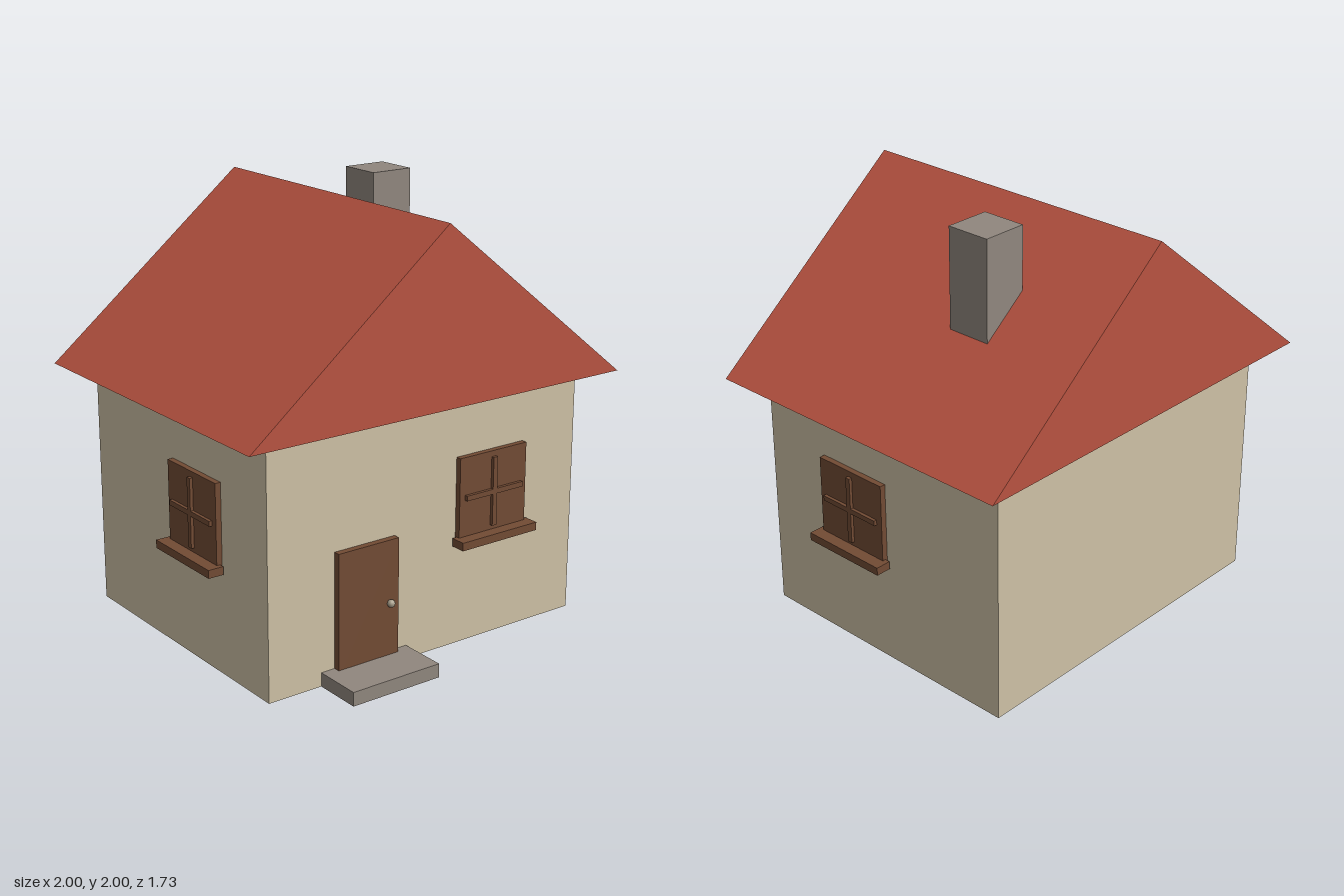
import * as THREE from 'three';

const mat = (name, color) => {
  const m = new THREE.MeshStandardMaterial({ color });
  m.name = name;
  return m;
};

export function createModel() {
  const house = new THREE.Group();
  house.name = 'house';
  const plaster = mat('plaster', 0xcec1a5);
  const tile = mat('roofRed', 0xb85341);
  const wood = mat('brownWood', 0x724b34);
  const stone = mat('greyStone', 0x90877e);
  const metal = mat('knobMetal', 0xa39a86);

  // Box given by its minimum and maximum corners
  const box = (name, material, [x0, y0, z0], [x1, y1, z1], parent = house) => {
    const mesh = new THREE.Mesh(new THREE.BoxGeometry(x1 - x0, y1 - y0, z1 - z0), material);
    mesh.position.set((x0 + x1) / 2, (y0 + y1) / 2, (z0 + z1) / 2);
    mesh.name = name;
    parent.add(mesh);
    return mesh;
  };

  box('walls', plaster, [-0.846, 0, -0.75], [0.846, 1.16, 0.635]);

  // Solid gabled roof, extruded from back to front
  const gable = new THREE.Shape([
    new THREE.Vector2(-1, 1.16), new THREE.Vector2(1, 1.16), new THREE.Vector2(0, 1.963),
  ]);
  const roof = new THREE.Mesh(
    new THREE.ExtrudeGeometry(gable, { depth: 1.613, bevelEnabled: false }), tile);
  roof.position.z = -0.865;
  roof.name = 'roof';
  house.add(roof);

  box('chimney', stone, [0.316, 1.4, -0.396], [0.53, 2, -0.184]);

  // Front door with knob and doorstep
  box('door', wood, [-0.506, 0.03, 0.62], [-0.185, 0.602, 0.666]);
  box('doorstep', stone, [-0.576, 0, 0.63], [-0.116, 0.065, 0.865]);
  const knob = new THREE.Mesh(new THREE.SphereGeometry(0.018, 12, 8), metal);
  knob.position.set(-0.235, 0.312, 0.679);
  knob.name = 'doorKnob';
  house.add(knob);

  // Window facing +z, with the wall surface at its local z = 0
  const addWindow = (name, x, z, angle) => {
    const win = new THREE.Group();
    win.name = name;
    box('windowPanel', wood, [-0.191, -0.2, -0.01], [0.191, 0.187, 0.027], win);
    box('verticalBar', wood, [-0.012, -0.162, 0.02], [0.012, 0.16, 0.042], win);
    box('horizontalBar', wood, [-0.161, -0.013, 0.02], [0.161, 0.011, 0.042], win);
    box('windowSill', wood, [-0.215, -0.222, 0.01], [0.215, -0.184, 0.084], win);
    win.position.set(x, 0.7, z);
    win.rotation.y = angle;
    house.add(win);
  };
  addWindow('frontWindow', 0.346, 0.635, 0);
  addWindow('leftWindow', 0.846, 0.1, Math.PI / 2);
  addWindow('rightWindow', -0.846, 0.1, -Math.PI / 2);

  return house;
}
